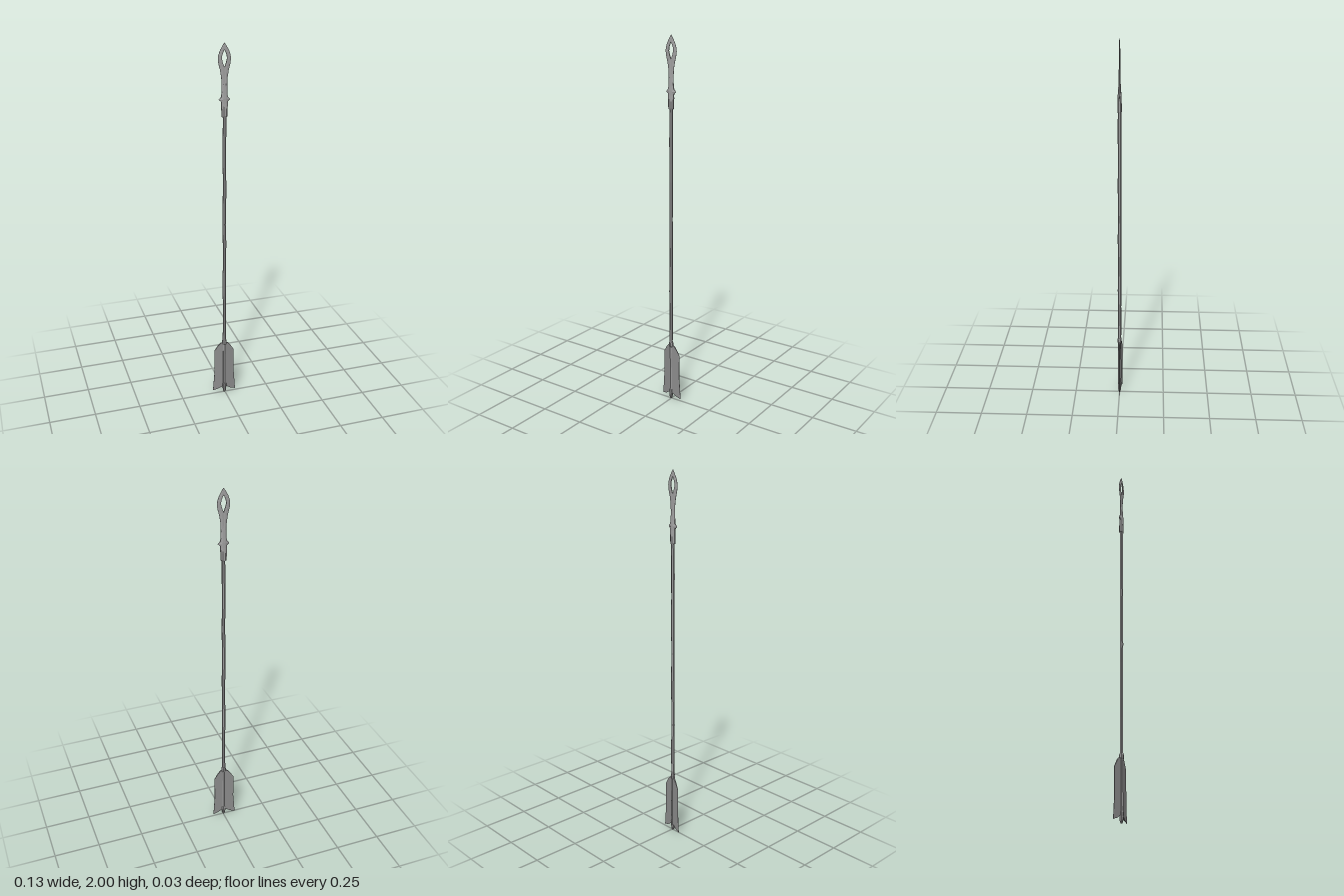
import * as THREE from 'three';

const grey = (color) => new THREE.MeshStandardMaterial({ color, flatShading: true });
const metal = grey(0xa0a0a0), wood = grey(0x989898), feather = grey(0x8c8c8c);

// Skin over rings of equal point count, with closed ends.
function loft(rings) {
  const n = rings[0].length, index = [];
  for (let r = 0; r < rings.length - 1; r++) {
    for (let i = 0; i < n; i++) {
      const a = r * n + i, b = r * n + (i + 1) % n;
      index.push(a, a + n, b, b, a + n, b + n);
    }
  }
  const last = (rings.length - 1) * n;
  for (let i = 1; i < n - 1; i++) {
    index.push(0, i, i + 1, last, last + i + 1, last + i);
  }
  const g = new THREE.BufferGeometry();
  g.setAttribute('position', new THREE.Float32BufferAttribute(rings.flat(2), 3));
  g.setIndex(index);
  g.computeVertexNormals();
  return g;
}

// Horizontal ellipse around (cx, cz).
function ellipse(y, rx, rz, sides = 8, cx = 0, cz = 0) {
  return Array.from({ length: sides }, (_, i) => {
    const a = ((i + 0.5) / sides) * Math.PI * 2;
    return [cx + rx * Math.cos(a), y, cz + rz * Math.sin(a)];
  });
}

export function createModel() {
  const model = new THREE.Group();
  const add = (name, geometry, material, parent = model) => {
    const mesh = new THREE.Mesh(geometry, material);
    mesh.name = name;
    parent.add(mesh);
    return mesh;
  };

  // Slightly uneven wooden shaft
  const shaft = [];
  for (let i = 0; i <= 16; i++) {
    const r = 0.0092 + 0.0005 * Math.sin(i * 2.3);
    shaft.push(ellipse(0.03 + i * 0.1015, r, r, 6,
      0.0009 * Math.sin(i * 1.7), 0.0006 * Math.cos(i * 2.1)));
  }
  add('shaft', loft(shaft), wood);

  // Nock at the foot and binding above the feathers
  add('nock', loft([[0, 0.005], [0.012, 0.009], [0.04, 0.0115], [0.055, 0.0115], [0.06, 0.009]]
    .map(([y, r]) => ellipse(y, r, r * 0.95))), wood);
  add('binding', loft([[0.315, 0.0095], [0.322, 0.0125], [0.338, 0.0125], [0.346, 0.0095]]
    .map(([y, r]) => ellipse(y, r, r))), wood);

  // Socket, flattening as it rises into the blade
  const head = new THREE.Group();
  head.name = 'head';
  model.add(head);
  add('socket', loft([
    [1.63, 0.014, 0.011], [1.637, 0.016, 0.012], [1.67, 0.0165, 0.012], [1.685, 0.0175, 0.011],
    [1.70, 0.0175, 0.01], [1.725, 0.02, 0.0095], [1.745, 0.0165, 0.0078],
    [1.79, 0.013, 0.0052], [1.82, 0.011, 0.003],
  ].map(([y, rx, rz]) => ellipse(y, rx, rz))), metal, head);

  // Blade arms with a ridged section, parting around the eye: [y, inner, outer, half thickness]
  const arm = [
    [1.74, 0, 0.016, 0.005], [1.79, 0, 0.0145, 0.0048], [1.83, 0, 0.0165, 0.004],
    [1.865, 0, 0.022, 0.0035], [1.88, 0, 0.026, 0.0034], [1.90, 0.008, 0.031, 0.0032],
    [1.922, 0.0135, 0.0335, 0.003], [1.94, 0.0115, 0.031, 0.0028], [1.958, 0.004, 0.025, 0.0026],
    [1.966, 0, 0.021, 0.0025], [1.985, 0, 0.0105, 0.002], [2, 0, 0.0005, 0.0008],
  ];
  for (const s of [-1, 1]) {
    const side = s > 0 ? 'left' : 'right';
    add(side + 'BladeArm', loft(arm.map(([y, a, b, t]) => {
      const m = a + (b - a) * 0.4, e = t * 0.75;
      const ring = [[a, e], [m, t], [b, 0.0006], [b, -0.0006], [m, -t], [a, -e]];
      if (s > 0) ring.reverse();
      return ring.map(([x, z]) => [s * x, y, z]);
    })), metal, head);

    // Broad pointed barb on the side of the collar
    const barb = add(side + 'Barb', new THREE.ConeGeometry(0.021, 0.02, 6), metal, head);
    barb.scale.z = 0.42;
    barb.rotation.z = -s * Math.PI / 2;
    barb.position.set(s * 0.0205, 1.72, 0);

    // Feather vane: thin plate tapering outwards, the right one swept back
    const outline = [[0.004, 0.325], [0.02, 0.322], [0.036, 0.303], [0.055, 0.272],
      [0.055, 0.13], [0.064, 0.01], [0.036, 0.02], [0.004, 0.042]];
    const vane = new THREE.ExtrudeGeometry(
      new THREE.Shape(outline.map(([x, y]) => new THREE.Vector2(s * x, y))),
      { depth: 1, bevelEnabled: false });
    const p = vane.attributes.position;
    for (let i = 0; i < p.count; i++) {
      const x = Math.abs(p.getX(i));
      const half = 0.005 * (1 - x / 0.066) + 0.0003;
      const sweep = s < 0 ? -0.002 - 0.2 * x : 0;
      p.setZ(i, sweep + (p.getZ(i) * 2 - 1) * half);
    }
    vane.computeVertexNormals();
    add(side + 'Vane', vane, feather);
  }

  model.position.x = -0.003;
  return model;
}
